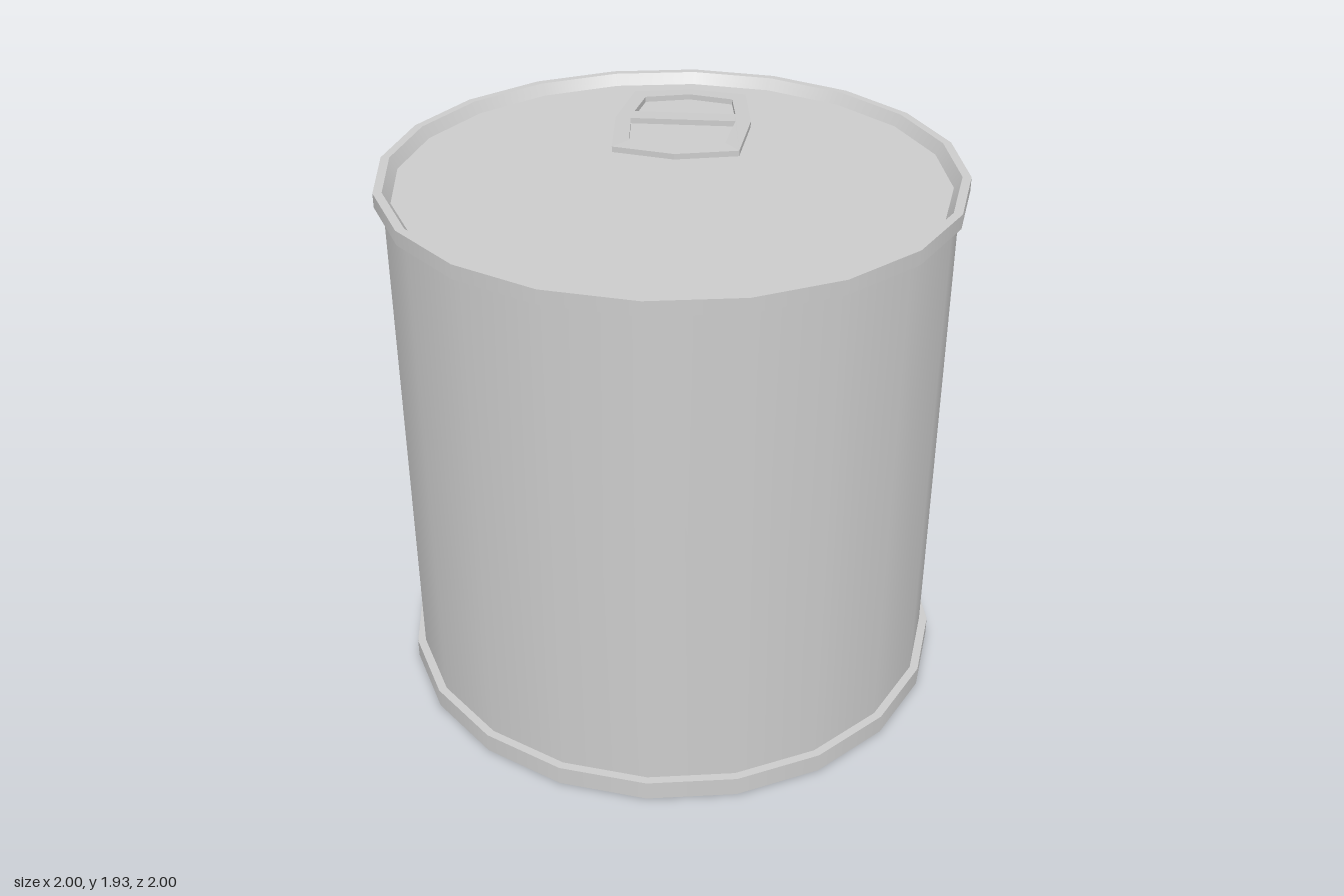
import * as THREE from 'three';

const SIDES = 20;
const TAB_THICKNESS = 0.02;

const metal = new THREE.MeshStandardMaterial({ color: 0xcccccc });

// Turns each stretch of a profile separately, so edges between stretches stay sharp
function turned(name, profile) {
  const group = new THREE.Group();
  group.name = name;
  for (let i = 0; i < profile.length - 1; i++) {
    const pts = [profile[i], profile[i + 1]].map(([r, y]) => new THREE.Vector2(r, y));
    const mesh = new THREE.Mesh(new THREE.LatheGeometry(pts, SIDES), metal);
    mesh.name = `${name}Band${i + 1}`;
    group.add(mesh);
  }
  return group;
}

// Mirrors a half outline of [x, distance behind centre] points across x = 0
function mirrored(half) {
  const other = half.filter(([x]) => x > 0).reverse().map(([x, d]) => [-x, d]);
  return [...half, ...other].map(([x, d]) => new THREE.Vector2(x, d));
}

function createPullTab() {
  const shape = new THREE.Shape(mirrored([[0, 0.08], [0.22, 0.13], [0.245, 0.45], [0.21, 0.79], [0, 0.835]]));
  shape.holes.push(
    new THREE.Path(mirrored([[0, 0.15], [0.167, 0.2], [0.19, 0.45]])),
    new THREE.Path(mirrored([[0.185, 0.535], [0.163, 0.72], [0, 0.77]])),
  );
  const geometry = new THREE.ExtrudeGeometry(shape, { depth: TAB_THICKNESS, bevelEnabled: false });
  geometry.rotateX(-Math.PI / 2);

  // Slope the tab down towards the back, leaving its front end raised
  const pos = geometry.attributes.position;
  for (let i = 0; i < pos.count; i++) {
    const drop = 0.06 * Math.max(0, -0.2 - pos.getZ(i));
    pos.setY(i, pos.getY(i) + 1.935 - TAB_THICKNESS - drop);
  }
  geometry.computeVertexNormals();
  const tab = new THREE.Mesh(geometry, metal);
  tab.name = 'pullTab';
  return tab;
}

export function createModel() {
  const can = new THREE.Group();
  can.name = 'tinCan';
  can.add(
    turned('bottomRim', [[0, 0], [1, 0], [1, 0.07], [0.97, 0.07]]),
    turned('body', [[0.97, 0.07], [0.97, 1.87]]),
    turned('topRim', [[0.97, 1.87], [1, 1.87], [1, 1.92], [0.97, 1.92], [0.945, 1.88]]),
    turned('lid', [[0.945, 1.88], [0, 1.88]]),
    createPullTab(),
  );
  return can;
}
